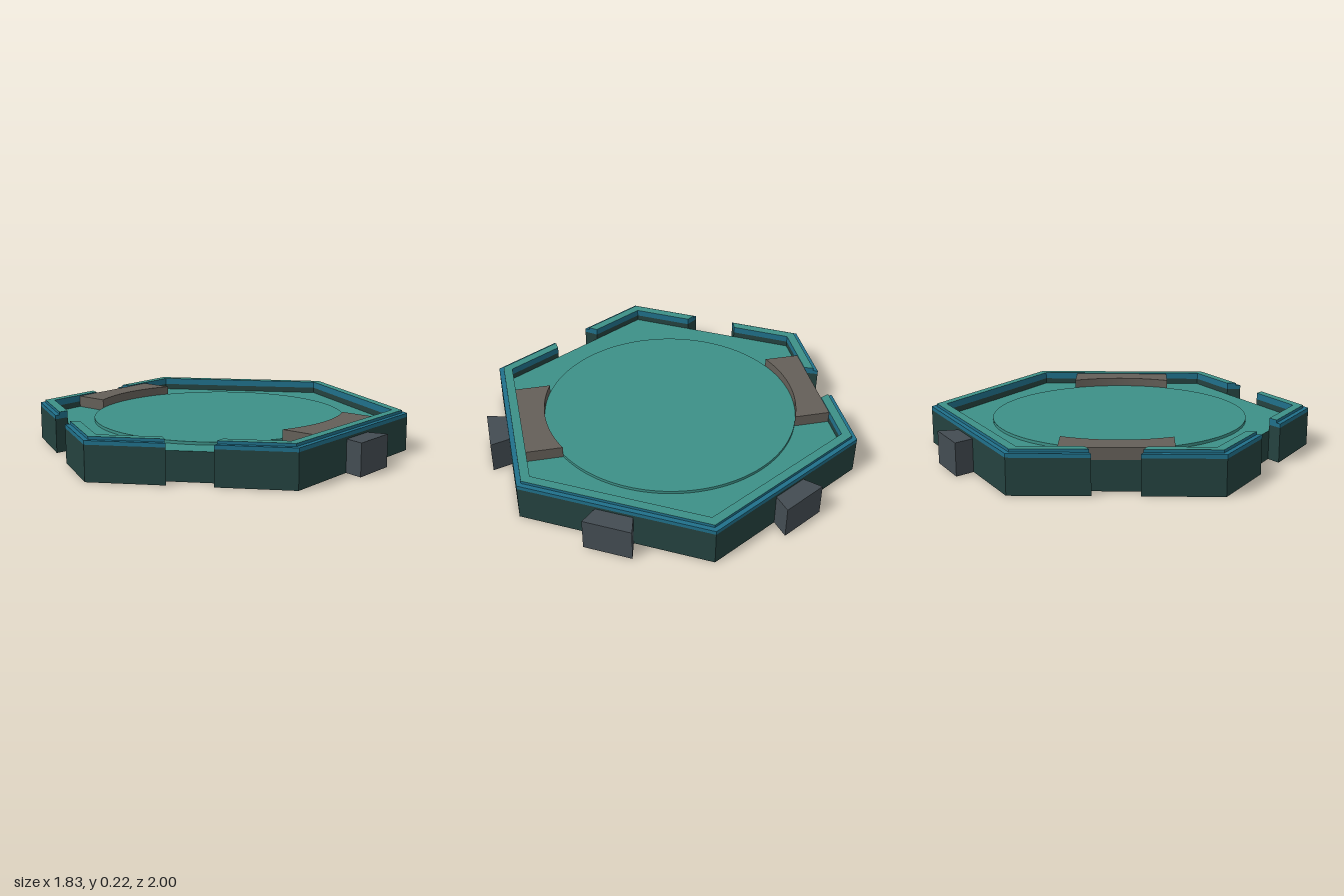
import * as THREE from 'three';

const mat = (name, color) => {
  const m = new THREE.MeshStandardMaterial({ color });
  m.name = name;
  return m;
};

const CX = -0.05;      // hexagon centre in x
const OUTER = 0.866;   // distance from centre to outer walls
const INNER = 0.796;   // distance from centre to inside of rim
const FLOOR = 0.15;    // floor height

export function createModel() {
  const teal = mat('teal', 0x3d9087);
  const dark = mat('dark green', 0x24423f);
  const blue = mat('blue', 0x20708a);
  const grey = mat('slate grey', 0x434c52);
  const stone = mat('warm stone', 0x645f58);

  const model = new THREE.Group();
  model.name = 'hexTile';
  const tile = new THREE.Group();
  tile.name = 'tile';
  tile.position.x = CX;
  model.add(tile);

  // Plan shapes use (x, -z) and are extruded upwards
  const add = (name, shape, y0, y1, material) => {
    const g = new THREE.ExtrudeGeometry(shape, { depth: y1 - y0, bevelEnabled: false, curveSegments: 72 });
    g.rotateX(-Math.PI / 2);
    g.translate(0, y0, 0);
    const mesh = new THREE.Mesh(g, material);
    mesh.name = name;
    tile.add(mesh);
    return mesh;
  };

  // Point at a distance out from the centre and along a wall facing the given angle
  const at = (deg, out, along) => {
    const a = THREE.MathUtils.degToRad(deg);
    return new THREE.Vector2(
      out * Math.cos(a) - along * Math.sin(a),
      out * Math.sin(a) + along * Math.cos(a));
  };
  const corner = (deg, apothem) => at(deg, apothem / Math.cos(Math.PI / 6), 0);
  const hexagon = apothem =>
    new THREE.Shape([30, 90, 150, 210, 270, 330].map(d => corner(d, apothem)));

  // Base with a round socket underneath, then the floor
  const base = hexagon(INNER);
  base.holes.push(new THREE.Path().absarc(0, 0, 0.115, 0, Math.PI * 2, true));
  add('base', base, 0, 0.12, dark);
  add('floor', hexagon(INNER), 0.12, FLOOR, [teal, dark]);

  // Slightly raised round centre
  const disc = new THREE.Shape().absarc(0, 0, 0.667, 0, Math.PI * 2, false);
  add('centreDisc', disc, FLOOR, 0.165, teal);

  // Rim sections between the dovetail notches, which widen inwards
  const half = apothem => 0.112 + 0.03 * (OUTER - apothem) / (OUTER - INNER);
  const rimShape = (from, to, apothem) => {
    const side = r => {
      const pts = [at(from, r, half(r))];
      for (let d = from + 30; d < to; d += 60) pts.push(corner(d, r));
      pts.push(at(to, r, -half(r)));
      return pts;
    };
    return new THREE.Shape([...side(apothem), ...side(INNER).reverse()]);
  };
  for (const [from, to] of [[180, 240], [240, 300], [300, 540]]) {
    add('wall', rimShape(from, to, OUTER), 0, 0.18, dark);
    add('rimBand', rimShape(from, to, OUTER), 0.18, 0.2, blue);
    add('rimTop', rimShape(from, to, 0.842), 0.2, 0.215, [teal, blue]);
  }

  // Dovetail tabs on the three opposite walls
  for (const deg of [0, 60, 120]) {
    const tab = new THREE.Shape([
      at(deg, OUTER - 0.005, -0.095), at(deg, 0.965, -0.125),
      at(deg, 0.965, 0.125), at(deg, OUTER - 0.005, 0.095)]);
    add('dovetailTab', tab, 0, 0.168, grey);
  }

  // Stone ledges either side, hollowed to follow the disc
  const a = Math.asin(0.27 / 0.667);
  for (const turn of [0, Math.PI]) {
    const ledge = new THREE.Shape();
    ledge.moveTo(INNER, -0.27);
    ledge.lineTo(INNER, 0.27);
    ledge.absarc(0, 0, 0.667, a, -a, true);
    ledge.closePath();
    add(turn ? 'rightLedge' : 'leftLedge', ledge, FLOOR, 0.21, stone).rotation.y = turn;
  }

  return model;
}
